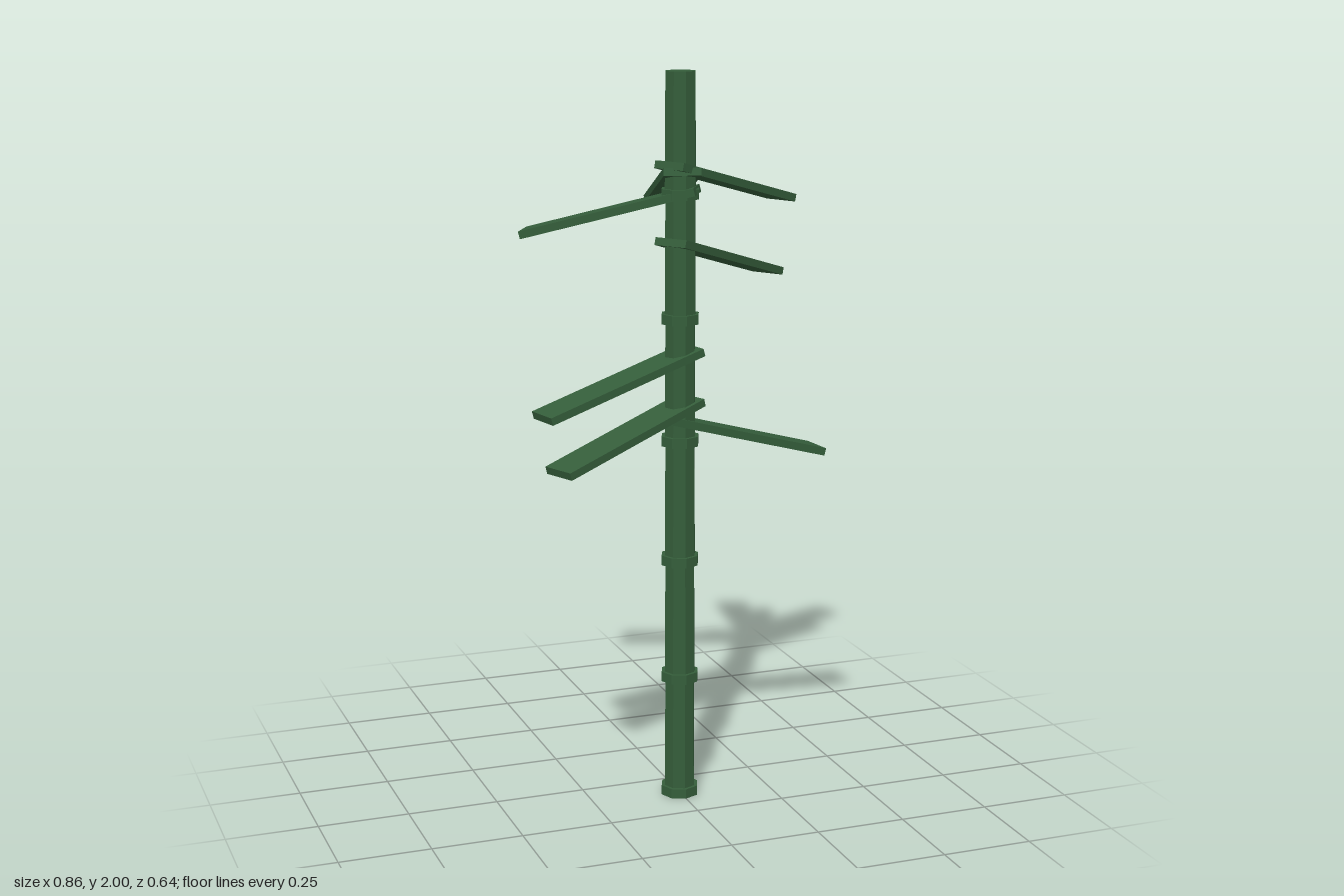
import * as THREE from 'three';

export function createModel() {
  const model = new THREE.Group();
  const green = new THREE.MeshStandardMaterial({ color: 0x355e3b });
  green.name = 'dark green';
  const stalkZ = 0.107;

  const add = (name, geometry, x, y, z) => {
    const mesh = new THREE.Mesh(geometry.toNonIndexed(), green);
    mesh.geometry.computeVertexNormals(); // faceted shading
    mesh.name = name;
    mesh.position.set(x, y, z);
    model.add(mesh);
    return mesh;
  };

  // Stalk: six octagonal segments, each with a raised joint ring at its foot
  const segments = 6, segH = 2 / segments, ringH = 0.027;
  for (let i = 0; i < segments; i++) {
    add('stalkSegment', new THREE.CylinderGeometry(0.042, 0.044, segH, 8), 0, (i + 0.5) * segH, stalkZ);
    add('jointRing', new THREE.CylinderGeometry(0.053, 0.053, ringH, 8), 0, i * segH + ringH / 2, stalkZ);
  }

  // Leaves: flat planks sloping down and outwards
  // [horizontal direction x, z, height of inner end, height of outer end]
  const leaves = [
    [0.375, -0.201, 1.757, 1.632],
    [-0.370, -0.215, 1.690, 1.565],
    [0.099, -0.416, 1.742, 1.612],
    [0.352, -0.238, 1.555, 1.423],
    [-0.417, 0.094, 1.257, 1.125],
    [-0.397, 0.162, 1.118, 0.992],
    [0.424, -0.048, 1.078, 0.944],
  ];
  const inner = -0.045, outer = 0.426, reach = outer - inner, mid = (inner + outer) / 2;
  for (const [dx, dz, y0, y1] of leaves) {
    const angle = Math.atan2(-dz, dx);
    const length = Math.hypot(reach, y0 - y1);
    const leaf = add('leaf', new THREE.BoxGeometry(length, 0.021, 0.1),
      mid * Math.cos(angle), (y0 + y1) / 2, stalkZ - mid * Math.sin(angle));
    leaf.rotation.set(0, angle, -Math.atan2(y0 - y1, reach));
  }
  return model;
}
